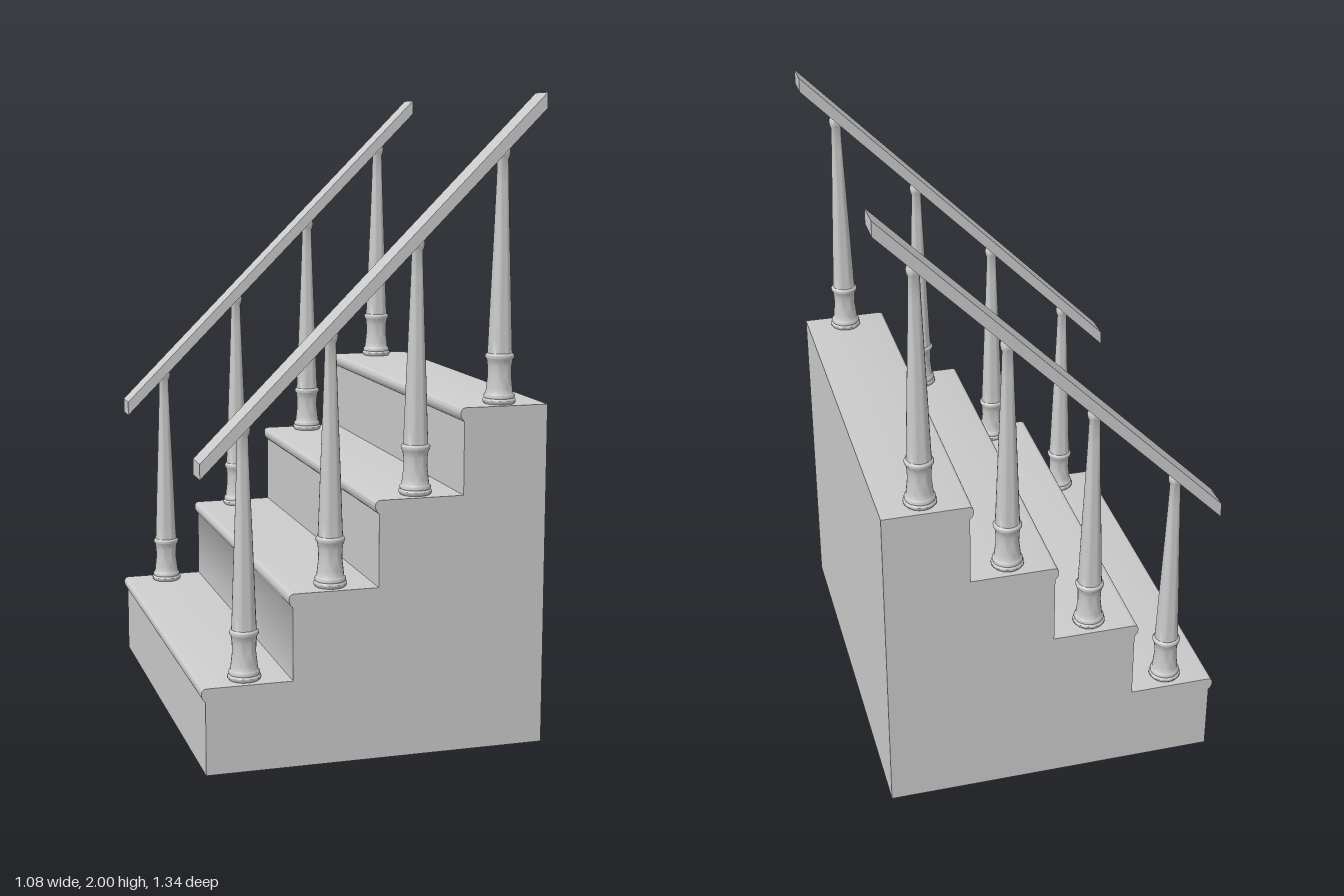
import * as THREE from 'three';
import { toCreasedNormals } from 'three/addons/utils/BufferGeometryUtils.js';

const STEPS = 4, RISE = 0.267, RUN = 0.267;
const FRONT = -0.529, BACK = 0.54, WIDTH = 1.342;
const NOSE = 0.012, NOSE_HEIGHT = 0.036;
const RAIL_Z = 0.606, RAIL_WIDTH = 0.092;

const material = new THREE.MeshStandardMaterial({ color: 0xcccccc });

function add(group, name, geometry) {
  const mesh = new THREE.Mesh(geometry, material);
  mesh.name = name;
  group.add(mesh);
  return mesh;
}

// Extrude an x-y outline along z, centred on z = 0
function extrudeCentred(shape, depth) {
  const g = new THREE.ExtrudeGeometry(shape, { depth, bevelEnabled: false, curveSegments: 6 });
  g.translate(0, 0, -depth / 2);
  return toCreasedNormals(g, 0.7);
}

// Solid side outline of the stairs, each tread ending in a rounded nosing
function stairShape() {
  const s = new THREE.Shape();
  s.moveTo(BACK, 0);
  s.lineTo(FRONT, 0);
  for (let i = 0; i < STEPS; i++) {
    const x = FRONT + i * RUN, top = (i + 1) * RISE, mid = top - NOSE_HEIGHT / 2;
    s.lineTo(x, top - NOSE_HEIGHT - 0.006);
    s.bezierCurveTo(x - NOSE * 0.7, top - NOSE_HEIGHT, x - NOSE, mid - 0.008, x - NOSE, mid);
    s.bezierCurveTo(x - NOSE, top - 0.006, x - NOSE * 0.5, top, x + 0.004, top);
    s.lineTo(i < STEPS - 1 ? x + RUN : BACK, top);
  }
  s.closePath();
  return s;
}

// Turned baluster: base rings, waisted foot, collar, long taper, rounded top
function balusterGeometry() {
  const profile = [
    [0, 0], [0.046, 0], [0.051, 0.006], [0.051, 0.012], [0.046, 0.017],
    [0.048, 0.021], [0.047, 0.027], [0.042, 0.031], [0.040, 0.05],
    [0.036, 0.085], [0.037, 0.115], [0.040, 0.135], [0.044, 0.14],
    [0.045, 0.146], [0.042, 0.151], [0.038, 0.154], [0.036, 0.2],
    [0.031, 0.34], [0.024, 0.52], [0.019, 0.66], [0.017, 0.735],
    [0.021, 0.745], [0.023, 0.757], [0.020, 0.769], [0.012, 0.777], [0, 0.78],
  ].map(([r, y]) => new THREE.Vector2(r, y));
  return toCreasedNormals(new THREE.LatheGeometry(profile, 24), 0.8);
}

// Sloping handrail with plumb-cut ends
function railShape() {
  return new THREE.Shape([
    new THREE.Vector2(-0.535, 0.888),
    new THREE.Vector2(0.529, 1.953),
    new THREE.Vector2(0.529, 2),
    new THREE.Vector2(-0.535, 0.935),
  ]);
}

export function createModel() {
  const model = new THREE.Group();
  model.name = 'staircase';
  add(model, 'steps', extrudeCentred(stairShape(), WIDTH));

  const baluster = balusterGeometry();
  const rail = extrudeCentred(railShape(), RAIL_WIDTH);
  for (const [side, sign] of [['front', 1], ['rear', -1]]) {
    const banister = new THREE.Group();
    banister.name = side + 'Banister';
    banister.position.z = sign * RAIL_Z;
    add(banister, 'handrail', rail);
    for (let i = 0; i < STEPS; i++) {
      add(banister, 'baluster' + (i + 1), baluster)
        .position.set(-0.396 + i * 0.268, (i + 1) * RISE, 0);
    }
    model.add(banister);
  }
  return model;
}
